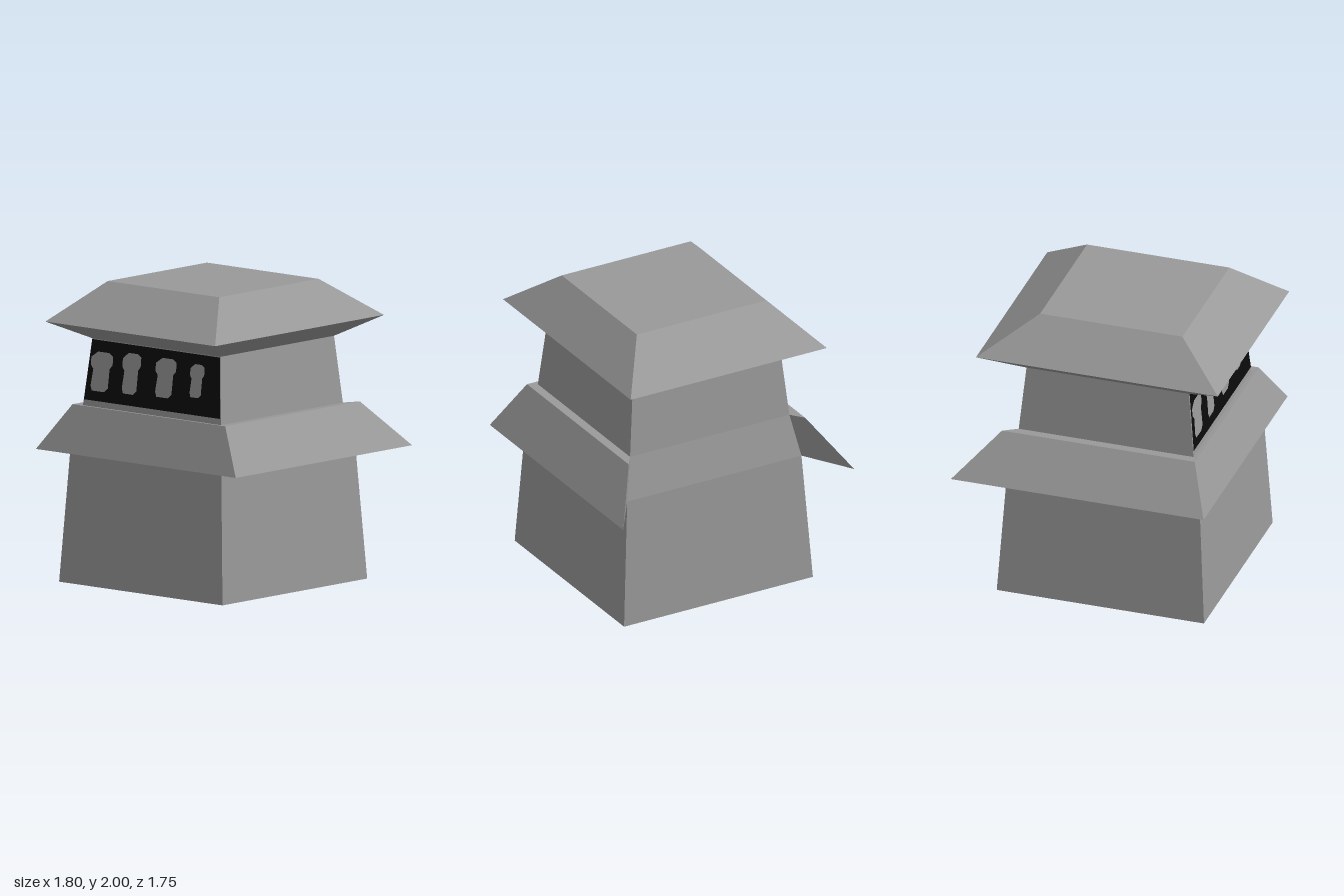
import * as THREE from 'three';

const grey = new THREE.MeshStandardMaterial({ color: 0x999999 });
grey.name = 'grey';
const black = new THREE.MeshStandardMaterial({ color: 0x0b0b0b });
black.name = 'black';

// Corners of a level rectangle: front right, front left, back left, back right
const ring = (y, x0, x1, z) =>
  [[x1, y, z], [x0, y, z], [x0, y, -z], [x1, y, -z]].map((p) => new THREE.Vector3(...p));

function meshFromQuads(name, quads) {
  const points = quads.flatMap(([a, b, c, d]) => [a, b, c, a, c, d]);
  const geometry = new THREE.BufferGeometry().setFromPoints(points);
  geometry.computeVertexNormals();
  const mesh = new THREE.Mesh(geometry, grey);
  mesh.name = name;
  return mesh;
}

// Stack of tapering four-sided storeys, rings listed from bottom to top
function stack(name, rings, capBottom, capTop) {
  const quads = [];
  for (let k = 0; k < rings.length - 1; k++) {
    const low = rings[k], up = rings[k + 1];
    for (let i = 0; i < 4; i++) {
      const j = (i + 1) % 4;
      quads.push([up[i], up[j], low[j], low[i]]);
    }
  }
  if (capBottom) quads.push(rings[0]);
  if (capTop) quads.push([...rings[rings.length - 1]].reverse());
  return meshFromQuads(name, quads);
}

// Sloping canopy around front, left-hand and back walls, open on the +x wall
function canopy() {
  const section = [
    ring(1.175, -0.69, 0.52, 0.605), // top, against wall
    ring(1.178, -0.72, 0.615, 0.67), // top, outer lip
    ring(0.873, -0.85, 0.9, 0.877), // bottom, outer edge
    ring(0.885, -0.75, 0.58, 0.662), // bottom, against wall
  ];
  const quads = [];
  for (let i = 0; i < 3; i++) {
    for (let k = 0; k < 4; k++) {
      const n = (k + 1) % 4;
      quads.push([section[k][i], section[k][i + 1], section[n][i + 1], section[n][i]]);
    }
  }
  quads.push(section.map((r) => r[0]), section.map((r) => r[3]).reverse());
  return meshFromQuads('canopy', quads);
}

// Thin face laid on the sloping upper -x wall; outline points are [z, y]
function wallPlate(name, outline, material, lift) {
  const shape = new THREE.Shape(outline.map(([z, y]) => new THREE.Vector2(z, y)));
  const geometry = new THREE.ShapeGeometry(shape);
  const pos = geometry.attributes.position;
  for (let i = 0; i < pos.count; i++) {
    const z = pos.getX(i), y = pos.getY(i);
    const wallX = -0.69 + (0.045 * (y - 1.18)) / 0.44;
    pos.setXYZ(i, wallX - lift, y, z);
  }
  geometry.computeVertexNormals();
  const mesh = new THREE.Mesh(geometry, material);
  mesh.name = name;
  return mesh;
}

export function createModel() {
  const model = new THREE.Group();
  model.name = 'tower';

  const eaveLine = ring(1.62, -0.645, 0.48, 0.563);
  model.add(stack('towerWalls', [
    ring(0, -0.8, 0.635, 0.717),
    ring(0.885, -0.75, 0.58, 0.662),
    ring(1.175, -0.69, 0.52, 0.605),
    eaveLine,
  ], true, false));
  model.add(stack('roof', [
    eaveLine,
    ring(1.743, -0.905, 0.77, 0.745),
    ring(2, -0.575, 0.41, 0.49),
  ], false, true));
  model.add(canopy());

  // Dark window band with four irregular panes
  model.add(wallPlate('windowBand',
    [[-0.597, 1.215], [0.597, 1.215], [0.56, 1.615], [-0.56, 1.615]], black, 0.003));
  const panes = [
    [-0.46, 1.41, 0.095, 0.13],
    [-0.2, 1.425, 0.08, 0.135],
    [0.1, 1.43, 0.09, 0.13],
    [0.375, 1.44, 0.062, 0.11],
  ];
  const paneOutline = [
    [-0.75, -1], [0.35, -1], [0.7, -0.8], [0.75, 0.2], [1, 0.4], [1, 0.85],
    [0.6, 1], [-0.4, 1], [-1, 0.7], [-1, 0.3], [-0.75, 0.1], [-0.9, -0.75],
  ];
  panes.forEach(([z, y, w, h]) => model.add(
    wallPlate('windowPane', paneOutline.map(([u, v]) => [z + u * w, y + v * h]), grey, 0.006)));

  return model;
}
